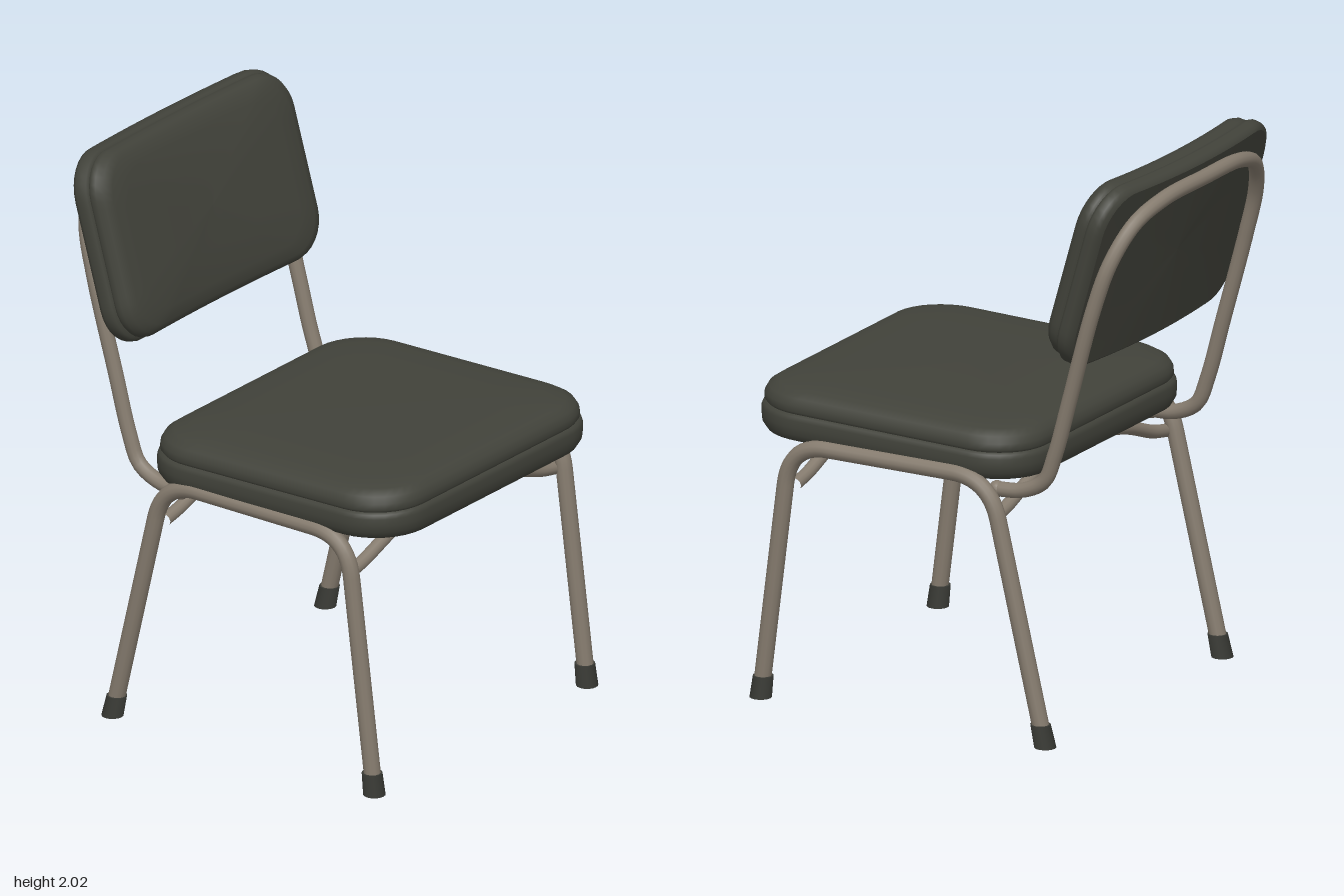
import * as THREE from 'three';

const make = (name, color) => {
  const m = new THREE.MeshStandardMaterial({ color });
  m.name = name;
  return m;
};
const vinyl = make('dark olive vinyl', 0x41423a);
const steel = make('warm grey steel', 0x857b6e);
const rubber = make('dark rubber', 0x3a3b36);
const V = (x, y, z) => new THREE.Vector3(x, y, z);

function mesh(geometry, material, name) {
  const m = new THREE.Mesh(geometry, material);
  m.name = name;
  return m;
}

// Rounded rectangle outline, lofted through [scale, height] rings; bend(x, z) lifts each point
function cushion(halfW, halfD, r, profile, bend) {
  const s = new THREE.Shape();
  s.moveTo(halfW, -halfD + r);
  s.lineTo(halfW, halfD - r);
  s.absarc(halfW - r, halfD - r, r, 0, Math.PI / 2, false);
  s.lineTo(-halfW + r, halfD);
  s.absarc(-halfW + r, halfD - r, r, Math.PI / 2, Math.PI, false);
  s.lineTo(-halfW, -halfD + r);
  s.absarc(-halfW + r, -halfD + r, r, Math.PI, Math.PI * 1.5, false);
  s.lineTo(halfW - r, -halfD);
  s.absarc(halfW - r, -halfD + r, r, Math.PI * 1.5, Math.PI * 2, false);
  const outline = s.getSpacedPoints(112);
  outline.pop();
  const n = outline.length, pos = [], index = [];
  profile.forEach(([k, y], i) => {
    outline.forEach((p, j) => {
      const x = p.x * k, z = p.y * k;
      pos.push(x, y + bend(x, z), z);
      if (i === profile.length - 1) return;
      const a = i * n + j, b = i * n + (j + 1) % n;
      index.push(a, a + n, b, b, a + n, b + n);
    });
  });
  const g = new THREE.BufferGeometry();
  g.setAttribute('position', new THREE.Float32BufferAttribute(pos, 3));
  g.setIndex(index);
  g.computeVertexNormals();
  return g;
}

// Straight runs joined by rounded bends
function bentPath(points, cut) {
  const path = new THREE.CurvePath();
  let from = points[0];
  for (let i = 1; i < points.length - 1; i++) {
    const p = points[i];
    const toward = q => q.clone().sub(p).setLength(cut).add(p);
    const a = toward(points[i - 1]), b = toward(points[i + 1]);
    path.add(new THREE.LineCurve3(from, a));
    path.add(new THREE.QuadraticBezierCurve3(a, p, b));
    from = b;
  }
  path.add(new THREE.LineCurve3(from, points[points.length - 1]));
  return path;
}

// Smooth tube mirrored across x; half runs from the +x end to the middle
function mirroredTube(half, r) {
  const other = half.slice(0, -1).reverse().map(p => V(-p.x, p.y, p.z));
  const curve = new THREE.CatmullRomCurve3([...half, ...other]);
  return new THREE.TubeGeometry(curve, 120, r, 12);
}

export function createModel() {
  const group = new THREE.Group();

  // Seat: base band, seam groove and crowned pad
  const seat = mesh(cushion(0.615, 0.555, 0.2, [
    [0, 0.935], [0.5, 0.93], [0.92, 0.925], [0.92, 0.925], [0.975, 0.935], [0.997, 0.96],
    [1, 0.985], [1, 1.01], [0.992, 1.024], [0.975, 1.03], [0.975, 1.03], [0.986, 1.04],
    [0.984, 1.062], [0.965, 1.085], [0.92, 1.103], [0.83, 1.115], [0.65, 1.122],
    [0.35, 1.126], [0, 1.127],
  ], (x, z) => z * 0.025), vinyl, 'seat');
  seat.position.set(-0.008, 0, 0.205);
  group.add(seat);

  // Backrest: shell, seam groove and padded front, bowed and leaning back
  const lean = 0.28;
  const back = mesh(cushion(0.57, 0.347, 0.15, [
    [0, 0], [0.5, 0], [0.96, 0], [0.96, 0], [0.99, 0.008], [1, 0.022], [1, 0.048],
    [0.985, 0.06], [0.96, 0.064], [0.96, 0.064], [0.972, 0.075], [0.968, 0.095],
    [0.94, 0.118], [0.88, 0.133], [0.75, 0.145], [0.4, 0.155], [0, 0.157],
  ], x => 0.035 * (x / 0.57) ** 2), vinyl, 'backrest');
  back.rotation.x = Math.PI / 2 - lean;
  back.position.set(-0.008, 1.662, -0.628);
  group.add(back);

  // Arched tube carrying the backrest, with rounded ends under the seat
  const arch = [
    V(0.525, 0.875, -0.22), V(0.522, 0.885, -0.32), V(0.52, 0.93, -0.405), V(0.52, 1.03, -0.448),
    V(0.52, 1.25, -0.51), V(0.52, 1.58, -0.602), V(0.495, 1.75, -0.655), V(0.41, 1.875, -0.7),
    V(0.26, 1.93, -0.727), V(0, 1.94, -0.736),
  ];
  group.add(mesh(mirroredTube(arch, 0.027), steel, 'backFrame'));

  // Bowed bars under the seat joining the two leg frames
  for (const [z, name] of [[0.55, 'frontCrossbar'], [-0.24, 'rearCrossbar']]) {
    const bar = [V(0.59, 0.785, z), V(0.5, 0.805, z), V(0.32, 0.868, z), V(0.16, 0.9, z), V(0, 0.905, z)];
    group.add(mesh(mirroredTube(bar, 0.024), steel, name));
  }

  for (const side of [1, -1]) {
    const label = side > 0 ? 'left' : 'right';
    // Leg frame: front leg, seat rail and rear leg in one bent tube
    const path = bentPath([
      V(side * 0.602, 0.03, 0.677), V(side * 0.602, 0.935, 0.562),
      V(side * 0.602, 0.935, -0.235), V(side * 0.602, 0.03, -0.45),
    ], 0.15);
    group.add(mesh(new THREE.TubeGeometry(path, 120, 0.03, 12), steel, label + 'LegFrame'));

    const end = mesh(new THREE.SphereGeometry(0.03, 14, 10), steel, label + 'FrameEnd');
    end.position.set(side * 0.525, 0.875, -0.22);
    group.add(end);

    // Feet sheared to follow the legs while staying flat on the floor
    for (const [z, slope, name] of [[0.68, -0.127, 'FrontFoot'], [-0.458, 0.237, 'RearFoot']]) {
      const g = new THREE.CylinderGeometry(0.036, 0.039, 0.08, 16);
      g.translate(0, 0.04, 0);
      const p = g.attributes.position;
      for (let i = 0; i < p.count; i++) p.setZ(i, p.getZ(i) + slope * p.getY(i));
      const foot = mesh(g, rubber, label + name);
      foot.position.set(side * 0.602, 0, z);
      group.add(foot);
    }
  }
  return group;
}
